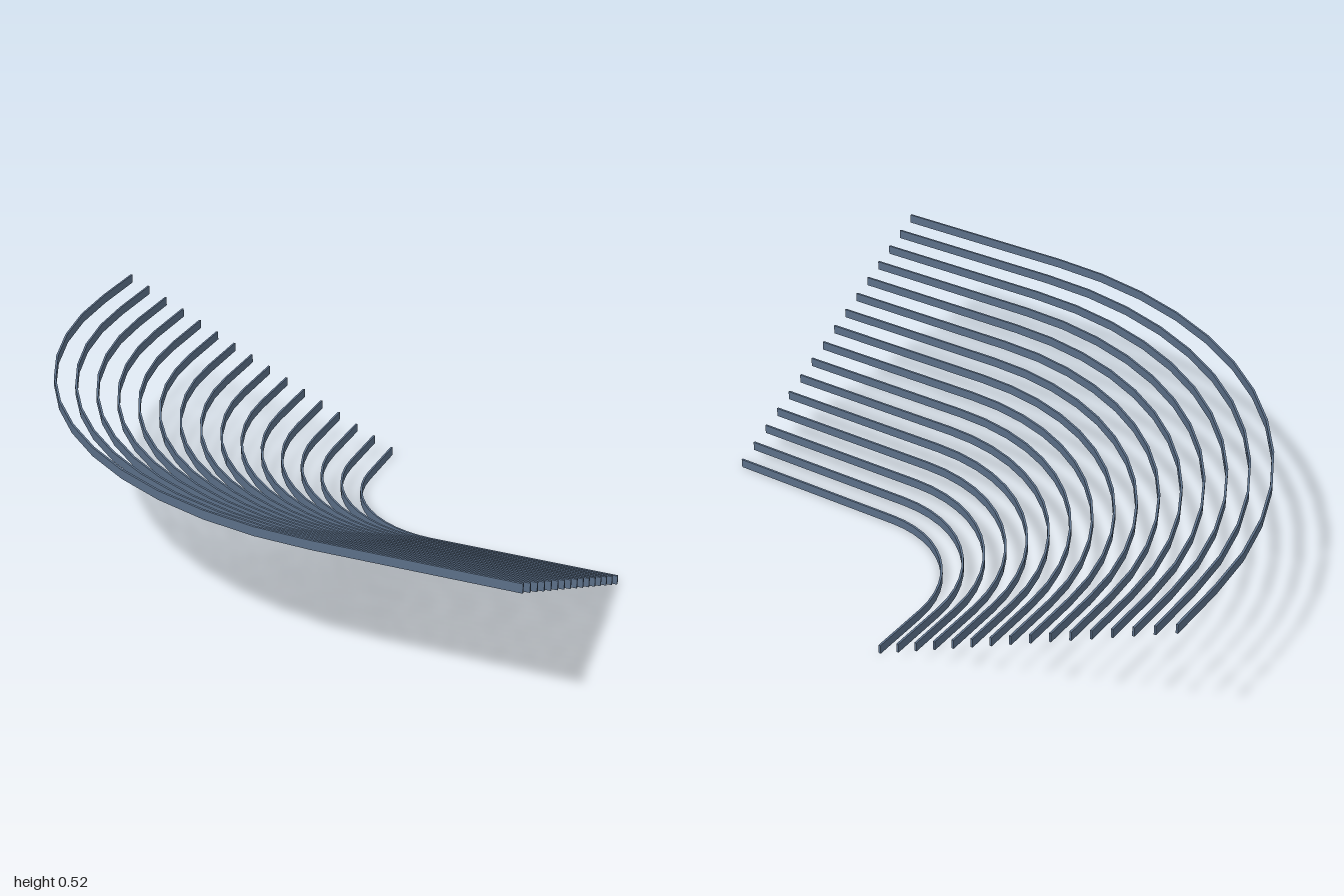
import * as THREE from 'three';
import { toCreasedNormals } from 'three/addons/utils/BufferGeometryUtils.js';

const COUNT = 16;         // number of curved slats
const SPACING = 0.067;    // plan distance between slats
const RISE = 0.0327;      // height step between slats
const HEIGHT = 0.03;      // height of one slat
const THICK = 0.007;
const SEGMENTS = 12;      // facets in the quarter turn
const CX = 0.378, CZ = -0.583;   // shared centre of the turn
const END_X = 1, END_Z = -0.795;

// Plan outline of one side: straight leg, quarter turn, straight leg
function sidePoints(radius) {
  const points = [new THREE.Vector2(CX - radius, -END_Z)];
  for (let i = 0; i <= SEGMENTS; i++) {
    const a = (i / SEGMENTS) * Math.PI / 2;
    points.push(new THREE.Vector2(CX - radius * Math.cos(a), -CZ - radius * Math.sin(a)));
  }
  points.push(new THREE.Vector2(END_X, -CZ - radius));
  return points;
}

// Thin upright slat, extruded upwards from its plan outline
function slatGeometry(radius) {
  const outline = [...sidePoints(radius), ...sidePoints(radius - THICK).reverse()];
  const geometry = new THREE.ExtrudeGeometry(new THREE.Shape(outline), {
    depth: HEIGHT, bevelEnabled: false,
  });
  geometry.rotateX(-Math.PI / 2);
  return toCreasedNormals(geometry, 0.5);
}

export function createModel() {
  const model = new THREE.Group();
  model.name = 'curvedSlats';
  const slate = new THREE.MeshStandardMaterial({ color: 0x5b6f88 });
  slate.name = 'slateBlue';

  // Slats grow outwards as they climb
  for (let i = 0; i < COUNT; i++) {
    const radius = CX + 1 - (COUNT - 1 - i) * SPACING;
    const slat = new THREE.Mesh(slatGeometry(radius), slate);
    slat.name = `slat${i + 1}`;
    slat.position.y = i * RISE;
    model.add(slat);
  }
  return model;
}
